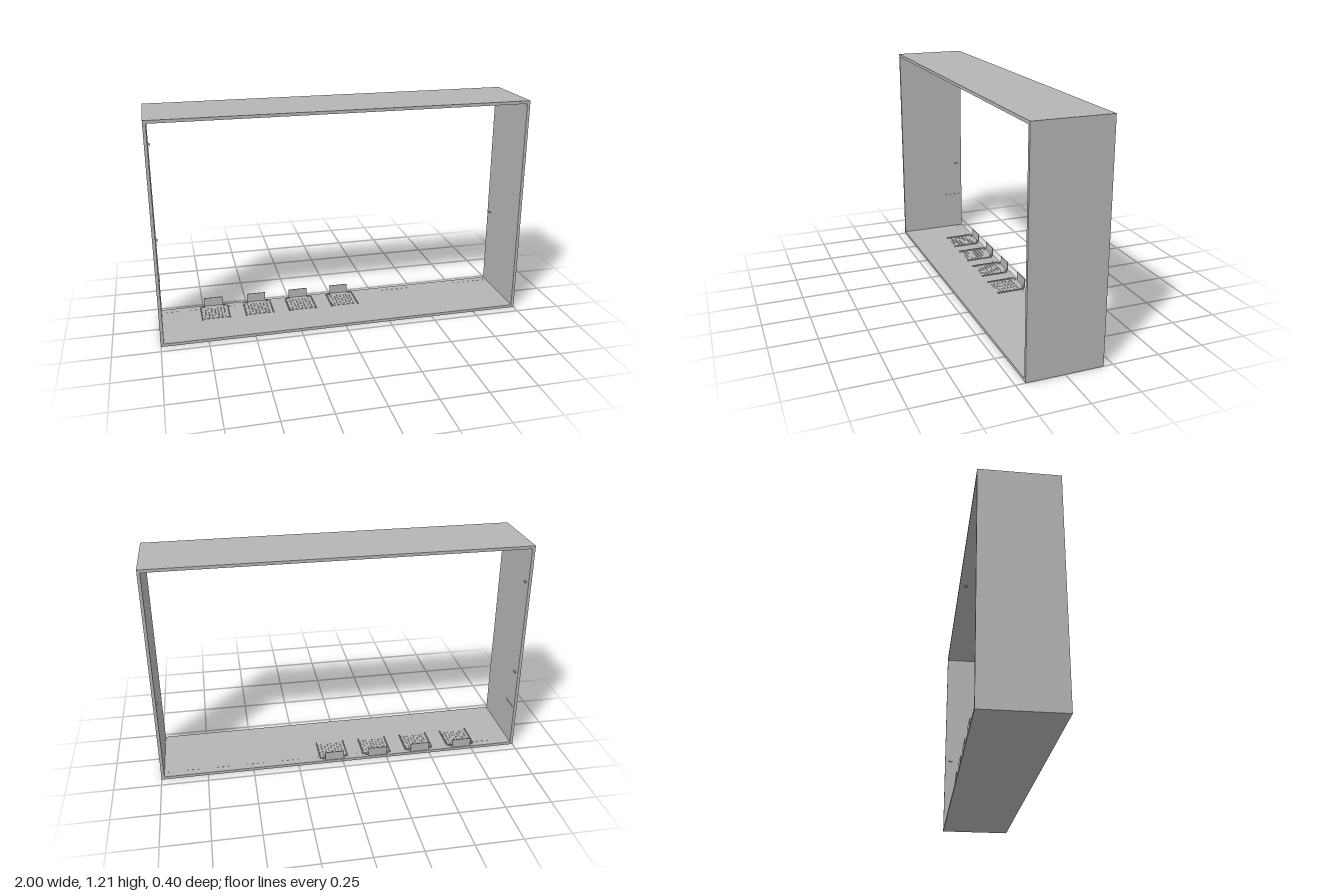
import * as THREE from 'three';

const W = 2, H = 1.21, D = 0.4, T = 0.016;

export function createModel() {
  const grey = new THREE.MeshStandardMaterial({ color: 0xb4b4b4 });
  grey.name = 'plain grey';
  const model = new THREE.Group();
  model.name = 'openFrame';

  const add = (parent, name, geometry, x, y, z) => {
    const mesh = new THREE.Mesh(geometry, grey);
    mesh.name = name;
    mesh.position.set(x, y, z);
    parent.add(mesh);
    return mesh;
  };
  const box = (parent, name, w, h, d, x, y, z) =>
    add(parent, name, new THREE.BoxGeometry(w, h, d), x, y, z);
  const rect = (path, x0, y0, x1, y1) =>
    path.moveTo(x0, y0).lineTo(x1, y0).lineTo(x1, y1).lineTo(x0, y1).closePath();

  // Rectangular casing, open at front and back
  const outline = rect(new THREE.Shape(), -W / 2, 0, W / 2, H);
  outline.holes.push(rect(new THREE.Path(), -W / 2 + T, T, W / 2 - T, H - T));
  add(model, 'casing', new THREE.ExtrudeGeometry(outline, { depth: D, bevelEnabled: false }), 0, 0, -D / 2);

  // Perforated sheet shared by the four floor fittings
  const sheet = rect(new THREE.Shape(), -0.07, 0.03, 0.07, 0.165);
  for (let row = 0; row < 7; row++) {
    for (let col = 0; col < 7; col++) {
      const hole = new THREE.Path();
      hole.absarc(-0.054 + col * 0.018, 0.044 + row * 0.018, 0.0045, 0, Math.PI * 2, true);
      sheet.holes.push(hole);
    }
  }
  const sheetGeometry = new THREE.ExtrudeGeometry(sheet, { depth: 0.002, bevelEnabled: false, curveSegments: 4 });
  sheetGeometry.rotateX(-Math.PI / 2);

  // Floor fittings: sheet, side rails, rear hinge pins and upright tab
  for (let i = 0; i < 4; i++) {
    const fitting = new THREE.Group();
    fitting.name = 'floorFitting';
    fitting.position.set(-0.69 + i * 0.246, T, 0);
    model.add(fitting);
    add(fitting, 'perforatedSheet', sheetGeometry, 0, 0, 0);
    for (const side of [-1, 1]) {
      box(fitting, 'rail', 0.006, 0.006, 0.155, side * 0.077, 0.003, -0.0975);
      const pin = add(fitting, 'hingePin', new THREE.CylinderGeometry(0.005, 0.005, 0.016, 10), side * 0.06, 0.005, -0.18);
      pin.rotation.z = Math.PI / 2;
    }
    box(fitting, 'uprightTab', 0.106, 0.05, 0.004, 0, 0.025, -0.194);
  }

  // Dashed seam along the floor
  for (let i = 0; i < 60; i++) {
    box(model, 'seamDash', 0.012, 0.001, 0.002, -0.96 + i * (1.92 / 59), T + 0.0005, -0.16);
  }

  // Small pegs on the inner walls and ceiling
  const inner = W / 2 - T;
  for (const [x, y] of [[-inner, 0.46], [-inner, 1], [inner, 0.46]]) {
    box(model, 'wallPeg', 0.01, 0.008, 0.02, x - Math.sign(x) * 0.004, y, -0.164);
  }
  box(model, 'ceilingPeg', 0.008, 0.01, 0.02, 0, H - T - 0.004, -0.164);
  box(model, 'wallStrip', 0.004, 0.003, 0.1, -inner + 0.001, 0.243, -0.133);

  return model;
}
